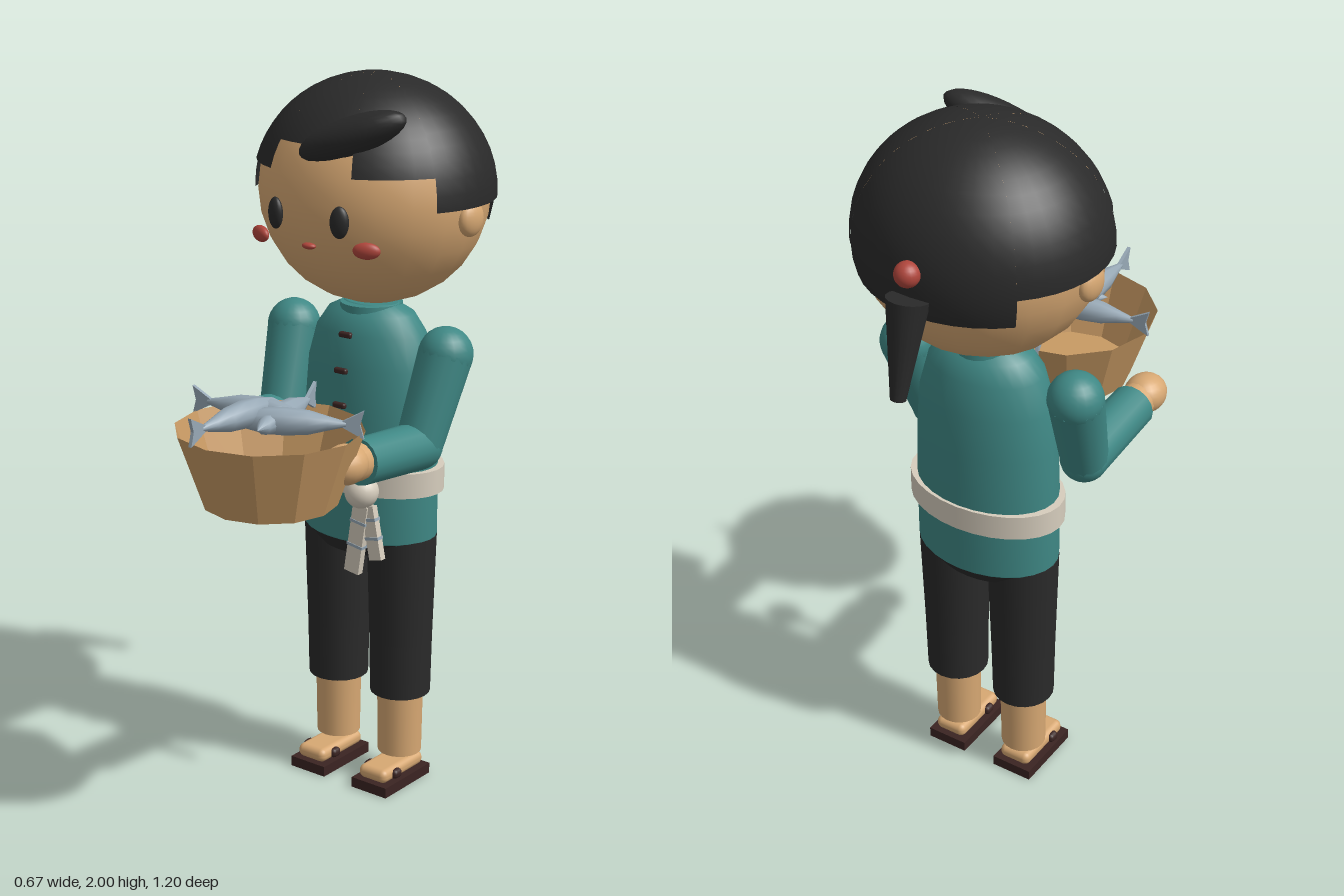
import * as THREE from 'three';
import { RoundedBoxGeometry } from 'three/addons/geometries/RoundedBoxGeometry.js';

const mat = (name, color, extra = {}) => {
  const m = new THREE.MeshStandardMaterial({ color, ...extra });
  m.name = name;
  return m;
};

export function createModel() {
  const root = new THREE.Group();
  root.name = 'childWithFishBasket';
  const skin = mat('skin', 0xd7a873);
  const black = mat('charcoal', 0x2a2a2a, { side: THREE.DoubleSide });
  const teal = mat('tealCloth', 0x3f8885);
  const cream = mat('creamCloth', 0xd6cdbd);
  const red = mat('red', 0xb0463c);
  const wood = mat('basketWood', 0xc89a64, { side: THREE.DoubleSide, flatShading: true });
  const silver = mat('fishSilver', 0x98a9b6);
  const sandal = mat('sandalBrown', 0x3b2422);

  const add = (name, geo, material, pos = [0, 0, 0], scale = [1, 1, 1], rot = [0, 0, 0], parent = root) => {
    const m = new THREE.Mesh(geo, material);
    m.name = name;
    m.position.set(...pos);
    m.scale.set(...scale);
    m.rotation.set(...rot);
    parent.add(m);
    return m;
  };
  const ball = (name, material, pos, radii, rot) =>
    add(name, new THREE.SphereGeometry(1, 20, 14), material, pos, radii, rot);
  // Tapered round bar from point a to point b
  const bar = (name, material, a, b, ra, rb) => {
    const p = new THREE.Vector3(...a), q = new THREE.Vector3(...b);
    const dir = q.clone().sub(p);
    const m = add(name, new THREE.CylinderGeometry(rb, ra, dir.length(), 16), material);
    m.position.copy(p).add(q).multiplyScalar(0.5);
    m.quaternion.setFromUnitVectors(new THREE.Vector3(0, 1, 0), dir.normalize());
    return m;
  };
  const lathe = (pts, n) => new THREE.LatheGeometry(pts.map(p => new THREE.Vector2(...p)), n);
  const rad = THREE.MathUtils.degToRad;

  // Head and face
  ball('head', skin, [0, 1.69, -0.21], [0.318, 0.307, 0.3]);
  ball('mouth', red, [0, 1.58, 0.07], [0.021, 0.009, 0.014]);

  // Hair cap in wedges, each with its own lower edge: [start, end, drop] in degrees
  const wedges = [[-136, -44, 107], [-44, 26, 92], [26, 66, 75.6], [66, 114, 61], [114, 154, 75.6], [154, 224, 92]];
  for (const [a, b, drop] of wedges) {
    add('hair', new THREE.SphereGeometry(1, Math.round((b - a) / 9), 12, rad(a), rad(b - a), 0, rad(drop)),
      black, [0, 1.69, -0.21], [0.335, 0.31, 0.31]);
  }
  ball('forelock', black, [0.1, 1.868, 0.02], [0.155, 0.05, 0.055], [0, 0.3, 0.36]);
  ball('hairBead', red, [0, 1.725, -0.525], [0.033, 0.033, 0.033]);
  bar('ponytail', black, [0, 1.405, -0.58], [0, 1.66, -0.525], 0.02, 0.055);

  // Jacket, collar, belt and hips
  add('jacket', lathe([[0.2, 0.735], [0.205, 0.74], [0.205, 0.95], [0.2, 1.1], [0.19, 1.22], [0.165, 1.31],
    [0.13, 1.36], [0.08, 1.385]], 28), teal, [0, 0, -0.2], [1, 1, 0.7]);
  add('collar', new THREE.CylinderGeometry(0.085, 0.09, 0.05, 24), teal, [0, 1.358, -0.2]);
  add('belt', new THREE.CylinderGeometry(0.225, 0.225, 0.07, 28), cream, [0, 0.91, -0.203], [1, 1, 0.66]);
  add('hips', new THREE.CylinderGeometry(0.202, 0.155, 0.05, 28), black, [0, 0.715, -0.2], [1, 1, 0.7]);
  [[1.31, -0.087], [1.215, -0.066], [1.12, -0.06], [1.02, -0.057]].forEach(([y, z]) =>
    add('button', new RoundedBoxGeometry(0.042, 0.016, 0.018, 2, 0.006), sandal, [0, y, z]));

  // Paired parts
  for (const s of [-1, 1]) {
    ball('eye', black, [s * 0.105, 1.655, 0.078], [0.026, 0.042, 0.016], [0, s * 0.3, 0]);
    ball('cheek', red, [s * 0.175, 1.587, 0.055], [0.037, 0.022, 0.016], [0, s * 0.4, 0]);
    ball('ear', skin, [s * 0.312, 1.645, -0.21], [0.025, 0.047, 0.047]);

    // Arm bent forward at the elbow
    const shoulder = [s * 0.258, 1.28, -0.185], elbow = [s * 0.235, 1.042, -0.1], wrist = [s * 0.23, 1.06, 0.155];
    ball('shoulder', teal, shoulder, [0.074, 0.074, 0.074]);
    bar('upperArm', teal, shoulder, elbow, 0.074, 0.064);
    ball('elbow', teal, elbow, [0.065, 0.065, 0.065]);
    bar('forearm', teal, elbow, wrist, 0.065, 0.062);
    bar('wrist', skin, [s * 0.23, 1.062, 0.14], [s * 0.232, 1.066, 0.2], 0.05, 0.05);
    ball('hand', skin, [s * 0.234, 1.07, 0.215], [0.057, 0.053, 0.065]);

    // Leg, foot and sandal
    const x = s * 0.11;
    add('trouserLeg', new THREE.CylinderGeometry(0.097, 0.088, 0.31, 20), black, [x, 0.585, -0.2]);
    add('trouserCuff', new THREE.CylinderGeometry(0.088, 0.085, 0.16, 20), black, [x, 0.35, -0.2]);
    add('shin', new THREE.CylinderGeometry(0.065, 0.062, 0.2, 20), skin, [x, 0.185, -0.2]);
    add('foot', new RoundedBoxGeometry(0.095, 0.04, 0.19, 3, 0.018), skin, [x, 0.05, -0.16]);
    add('sandalSole', new THREE.BoxGeometry(0.12, 0.03, 0.21), sandal, [x, 0.015, -0.16]);
    add('sandalStrap', new RoundedBoxGeometry(0.118, 0.028, 0.035, 2, 0.012), sandal, [x, 0.049, -0.122]);
  }

  // Belt knot with two hanging strips and thin bands
  ball('beltKnot', cream, [0.11, 0.91, -0.015], [0.047, 0.047, 0.047]);
  [[0.1, 0.775, -0.15, 0.048, 0.2], [0.148, 0.8, 0.2, 0.04, 0.15]].forEach(([x, y, tilt, w, h], i) => {
    const strip = new THREE.Group();
    strip.name = 'beltStrip';
    strip.position.set(x, y, -0.012 - i * 0.005);
    strip.rotation.z = tilt;
    root.add(strip);
    add('strip', new THREE.BoxGeometry(w, h, 0.02), cream, [0, 0, 0], undefined, undefined, strip);
    for (const k of [0.25, -0.1])
      add('stripBand', new THREE.BoxGeometry(w + 0.004, 0.008, 0.024), silver, [0, h * k, 0], undefined, undefined, strip);
  });

  // Twelve-sided basket
  add('basketWall', new THREE.CylinderGeometry(0.245, 0.175, 0.2, 12, 1, true), wood, [0.083, 1.07, 0.335]);
  add('basketFloor', new THREE.CylinderGeometry(0.176, 0.174, 0.015, 12), wood, [0.083, 0.978, 0.335]);

  // Fish: spindle body along +x with an upright tail fin
  const body = lathe([[0, -0.15], [0.02, -0.115], [0.034, -0.05], [0.036, 0.0], [0.031, 0.06], [0.018, 0.11],
    [0.007, 0.155]], 10).rotateZ(-Math.PI / 2);
  const finShape = new THREE.Shape([[0.14, 0.005], [0.2, 0.037], [0.19, 0], [0.2, -0.037], [0.14, -0.005]]
    .reverse().map(p => new THREE.Vector2(...p)));
  const fin = new THREE.ExtrudeGeometry(finShape, { depth: 0.01, bevelEnabled: false }).translate(0, 0, -0.005);
  // Each fish: centre x, y, z and tail direction x, z
  [[0.03, 1.2, 0.315, -1, 0.12], [0.05, 1.212, 0.4, 0, 1], [0.135, 1.195, 0.335, 0.87, -0.48],
    [0.09, 1.192, 0.29, -0.25, -0.97]].forEach(([x, y, z, dx, dz]) => {
    const fish = new THREE.Group();
    fish.name = 'fish';
    fish.position.set(x, y, z);
    fish.rotation.y = Math.atan2(-dz, dx);
    root.add(fish);
    add('fishBody', body, silver, [0, 0, 0], undefined, undefined, fish);
    add('fishTail', fin, silver, [0, 0, 0], undefined, undefined, fish);
  });

  return root;
}
